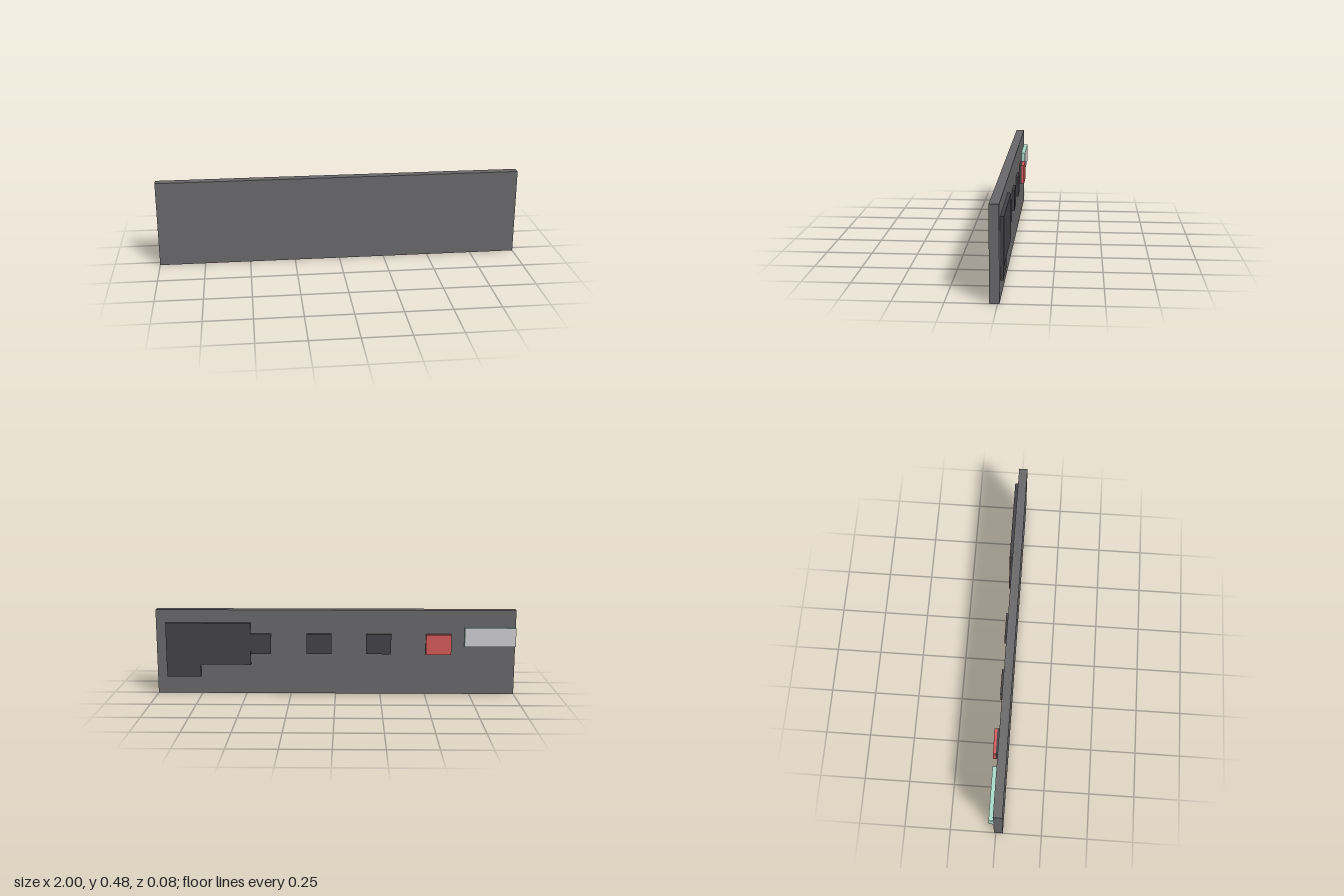
import * as THREE from 'three';

export function createModel() {
  const model = new THREE.Group();
  model.name = 'panel';

  const material = (name, color) => {
    const m = new THREE.MeshStandardMaterial({ color });
    m.name = name;
    return m;
  };
  const slabGrey = material('slabGrey', 0x69696b);
  const charcoal = material('charcoal', 0x434347);
  const red = material('red', 0xd65959);
  const white = material('white', 0xd0d0d4);
  const mint = material('mint', 0xa8dccb);

  // Box given by its limits on each axis
  const box = (name, mat, [x0, x1], [y0, y1], [z0, z1]) => {
    const mesh = new THREE.Mesh(new THREE.BoxGeometry(x1 - x0, y1 - y0, z1 - z0), mat);
    mesh.position.set((x0 + x1) / 2, (y0 + y1) / 2, (z0 + z1) / 2);
    mesh.name = name;
    model.add(mesh);
  };

  const back = -0.009; // rear face of the slab

  box('slab', slabGrey, [-1, 1], [0, 0.477], [back, 0.039]);

  // Large plate with a lower tab
  box('largePlate', charcoal, [0.473, 0.945], [0.168, 0.405], [-0.027, back]);
  box('lowerTab', charcoal, [0.755, 0.945], [0.097, 0.2], [-0.023, back]);

  // Row of equal pads; the last one carries the red button
  for (const x of [0.36, 0.022, -0.31, -0.643]) {
    box('pad', charcoal, [x, x + 0.14], [0.23, 0.343], [-0.023, back]);
  }
  box('redButton', red, [-0.643, -0.503], [0.23, 0.343], [-0.038, -0.023]);

  // Mint block at the end with a white cover
  box('endBlock', mint, [-1, -0.717], [0.275, 0.38], [-0.0315, back]);
  box('endCover', white, [-1, -0.717], [0.275, 0.38], [-0.0325, -0.0315]);

  return model;
}
